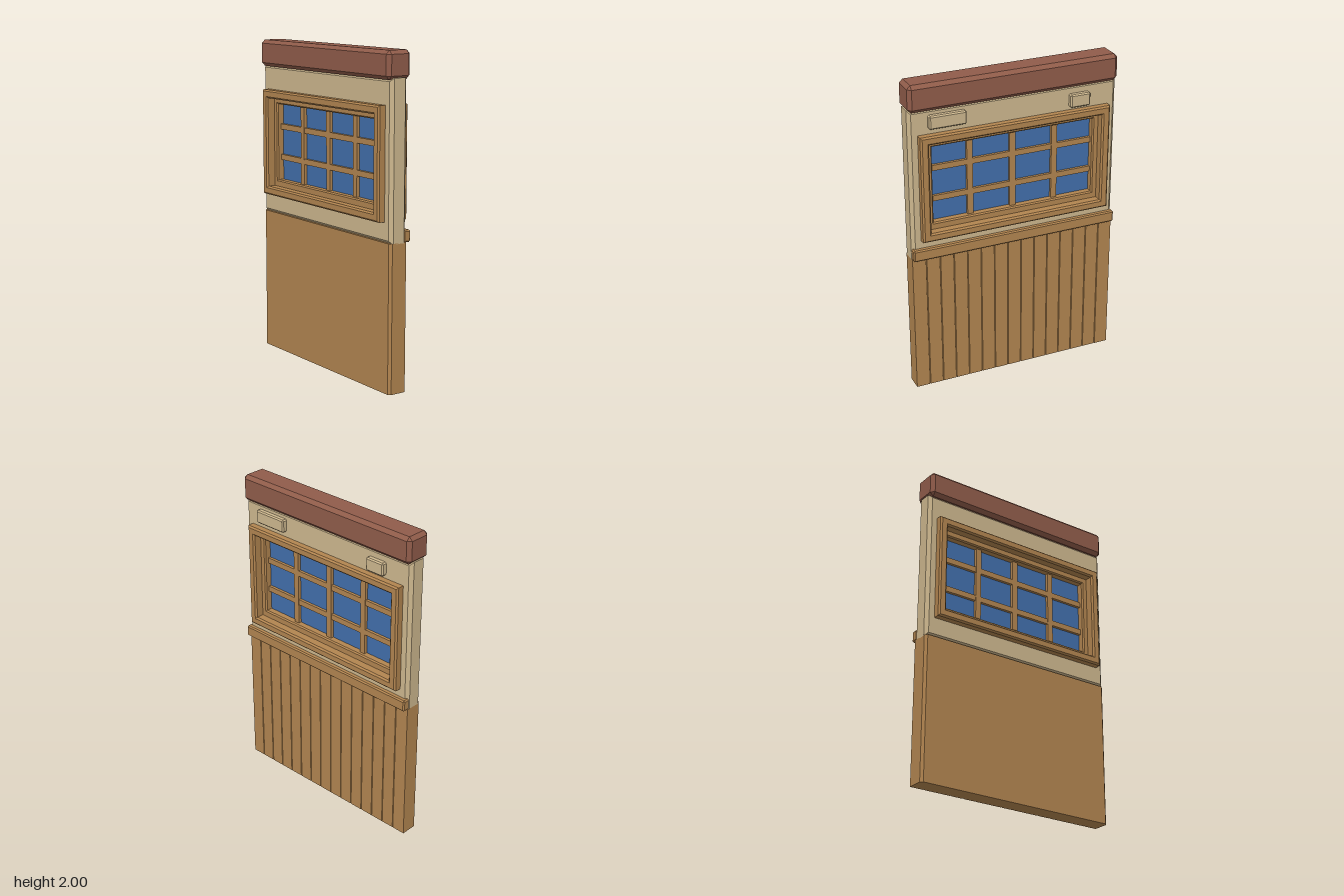
import * as THREE from 'three';
import { ConvexGeometry } from 'three/addons/geometries/ConvexGeometry.js';

const mat = (name, color) => {
  const m = new THREE.MeshStandardMaterial({ color });
  m.name = name;
  return m;
};

// Box with every edge and corner cut flat
function chamferBox(w, h, d, c) {
  const pts = [];
  for (const x of [-1, 1]) for (const y of [-1, 1]) for (const z of [-1, 1]) {
    const [X, Y, Z] = [w / 2, h / 2, d / 2];
    pts.push(new THREE.Vector3(x * X, y * (Y - c), z * (Z - c)));
    pts.push(new THREE.Vector3(x * (X - c), y * Y, z * (Z - c)));
    pts.push(new THREE.Vector3(x * (X - c), y * (Y - c), z * Z));
  }
  return new ConvexGeometry(pts);
}

const rect = (path, hw, y0, y1) =>
  path.moveTo(-hw, y0).lineTo(hw, y0).lineTo(hw, y1).lineTo(-hw, y1).closePath();

// Bevelled rectangular ring standing in the z-y plane, centred on x = 0
function ring(outer, inner, thick, bevel) {
  const shape = rect(new THREE.Shape(), ...outer);
  shape.holes.push(rect(new THREE.Path(), ...inner));
  const g = new THREE.ExtrudeGeometry(shape, {
    depth: thick - 2 * bevel, bevelEnabled: true, bevelSegments: 1,
    bevelSize: bevel, bevelThickness: bevel, bevelOffset: -bevel,
  });
  return g.translate(0, 0, bevel - thick / 2).rotateY(Math.PI / 2);
}

export function createModel() {
  const group = new THREE.Group();
  const wood = mat('wood', 0xb28550);
  const plaster = mat('plaster', 0xcdb78e);
  const capRed = mat('capRed', 0x905c4a);
  const glass = mat('glass', 0x426fab);
  const add = (name, geo, material, x = 0, y = 0, z = 0) => {
    const m = new THREE.Mesh(geo, material);
    m.name = name;
    m.position.set(x, y, z);
    group.add(m);
  };
  const L = 0.665;

  // Lower panel: grooved planks on one side, plain chamfered back
  const planks = 15, pw = (2 * L) / planks;
  const s = new THREE.Shape();
  s.moveTo(-0.06, L - 0.015).lineTo(-0.06, -L + 0.015).lineTo(-0.045, -L).lineTo(0.055, -L);
  for (let i = 1; i < planks; i++) {
    const z = -L + i * pw;
    s.lineTo(0.055, z - 0.003).lineTo(0.047, z).lineTo(0.055, z + 0.003);
  }
  s.lineTo(0.055, L).lineTo(-0.045, L).closePath();
  add('plankPanel', new THREE.ExtrudeGeometry(s, { depth: 0.9, bevelEnabled: false })
    .rotateX(-Math.PI / 2), wood);

  // Upper wall with window opening
  add('upperWall', ring([L, 0.895, 1.845], [0.575, 1.055, 1.655], 0.118, 0.02), plaster);

  // Rail above the planks, and the cap
  add('rail', chamferBox(0.05, 0.072, 2 * L, 0.008), wood, 0.064, 0.933);
  add('cap', chamferBox(0.166, 0.166, 2 * L, 0.022), capRed, 0, 1.917);

  // Window frame, sash and pane
  add('windowFrame', ring([0.608, 1.02, 1.69], [0.555, 1.073, 1.637], 0.214, 0.01), wood);
  add('sash', ring([0.565, 1.063, 1.647], [0.52, 1.115, 1.6], 0.1, 0.008), wood);
  add('pane', new THREE.BoxGeometry(0.01, 0.5, 1.06), glass, 0, 1.357);

  // Glazing bars
  for (const z of [-0.275, 0, 0.275])
    add('verticalBar', new THREE.BoxGeometry(0.05, 0.49, 0.037), wood, 0, 1.357, z);
  for (const y of [1.26, 1.455])
    add('horizontalBar', new THREE.BoxGeometry(0.046, 0.035, 1.05), wood, 0, y);

  // Raised stones on the plaster
  add('wideStone', chamferBox(0.05, 0.082, 0.23, 0.008), plaster, 0.066, 1.765, 0.43);
  add('smallStone', chamferBox(0.05, 0.082, 0.13, 0.008), plaster, 0.066, 1.75, -0.415);

  return group;
}
